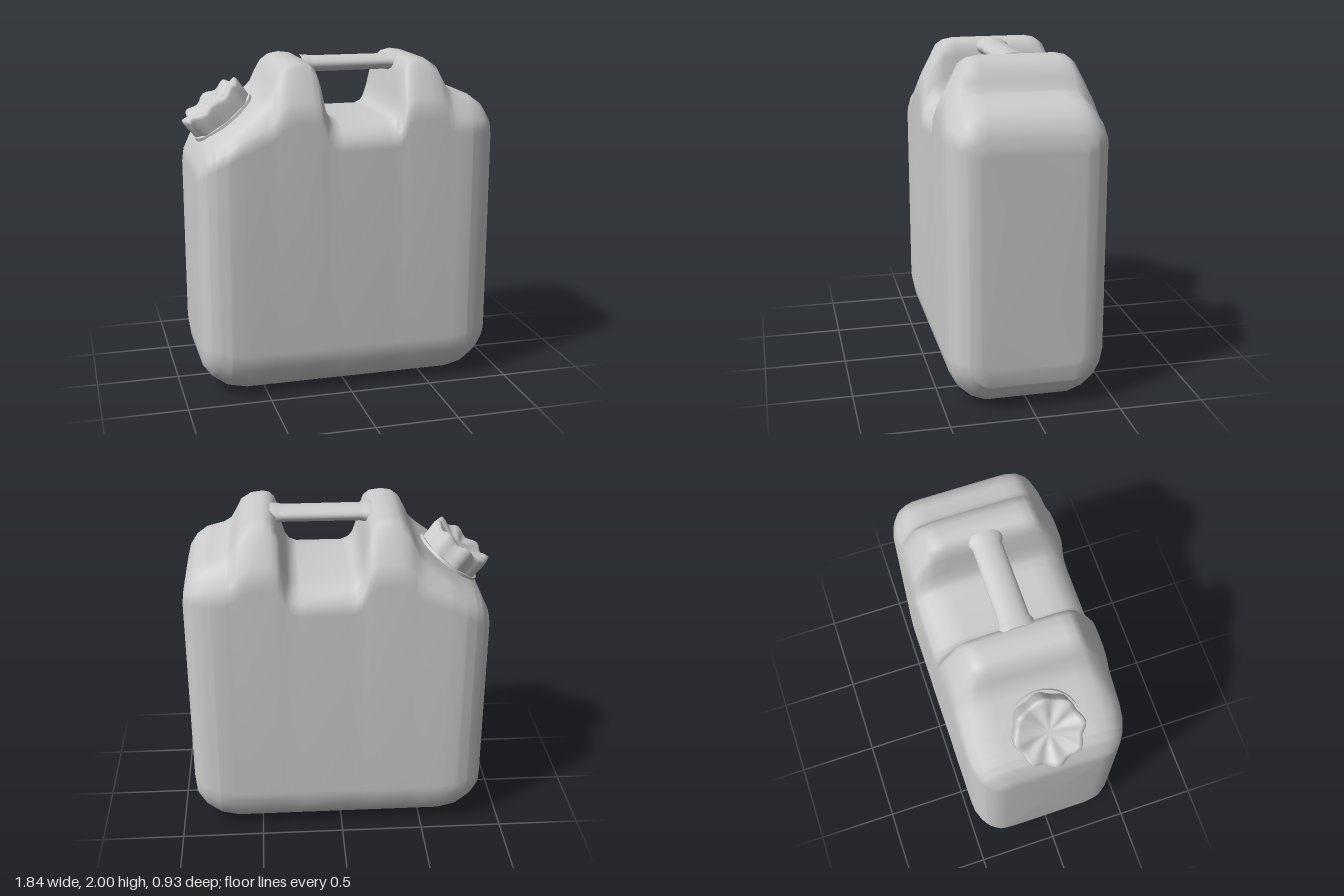
import * as THREE from 'three';
import { mergeVertices } from 'three/addons/utils/BufferGeometryUtils.js';

const material = new THREE.MeshStandardMaterial({ color: 0xcccccc });

// Piecewise linear lookup in a list of [x, value] points
function sample(points, x) {
  if (x <= points[0][0]) return points[0][1];
  for (let i = 1; i < points.length; i++) {
    const [x0, y0] = points[i - 1], [x1, y1] = points[i];
    if (x <= x1) return y0 + (y1 - y0) * (x - x0) / (x1 - x0);
  }
  return points[points.length - 1][1];
}

const X0 = -0.89, X1 = 0.92;

// Upper outline: sloped shoulder, hump, grip gap, hump, flat shoulder
const TOP = [
  [-0.89, 1.35], [-0.875, 1.42], [-0.83, 1.51], [-0.78, 1.56], [-0.7, 1.615], [-0.5, 1.77],
  [-0.45, 1.82], [-0.42, 1.89], [-0.385, 1.955], [-0.34, 1.99], [-0.28, 2.0], [-0.21, 1.99],
  [-0.175, 1.96], [-0.155, 1.9], [-0.135, 1.78], [-0.115, 1.71], [-0.085, 1.67], [-0.04, 1.65],
  [0.24, 1.65], [0.285, 1.67], [0.31, 1.71], [0.33, 1.78], [0.35, 1.9], [0.37, 1.96], [0.4, 1.99],
  [0.44, 2.0], [0.51, 1.99], [0.57, 1.95], [0.605, 1.88], [0.635, 1.825], [0.68, 1.795],
  [0.79, 1.765], [0.85, 1.72], [0.895, 1.65], [0.915, 1.57], [0.92, 1.52],
];
// Rounding at both ends, by distance from the end: bottom height and half depth
const BOTTOM = [[0, 0.28], [0.015, 0.17], [0.07, 0.09], [0.16, 0.025], [0.27, 0]];
const DEPTH = [[0, 0.29], [0.015, 0.36], [0.05, 0.41], [0.1, 0.44], [0.17, 0.462], [0.24, 0.467]];

// Edge rounding as [inset from the side, distance from the top or bottom]
const LOW_EDGE = [[0.22, 0], [0.13, 0.035], [0.06, 0.1], [0.02, 0.18], [0, 0.28]];
const SHOULDER_EDGE = [[0, 0.16], [0.02, 0.09], [0.07, 0.04], [0.13, 0.01], [0.22, 0]];
const HUMP_EDGE = [[0, 0.34], [0.05, 0.22], [0.14, 0.04], [0.18, 0.012], [0.24, 0]];

// Closed cross-section of the body at x, as [y, z] pairs
function section(x) {
  const u = Math.min(x - X0, X1 - x);
  const top = sample(TOP, x), bottom = sample(BOTTOM, u), d = sample(DEPTH, u);
  const q = (d - 0.25) / 0.217;
  const k = THREE.MathUtils.clamp((top - 1.65) / 0.35, 0, 1);
  const half = LOW_EDGE.map(([inset, rise]) => [bottom + rise * q, d - inset * q]);
  SHOULDER_EDGE.forEach(([inset, drop], i) => {
    const [hi, hd] = HUMP_EDGE[i];
    half.push([
      top - THREE.MathUtils.lerp(drop, hd, k) * q,
      d - THREE.MathUtils.lerp(inset, hi, k) * q,
    ]);
  });
  return [...half, ...half.map(([y, z]) => [y, -z]).reverse()];
}

function bodyGeometry() {
  const stations = new Set(TOP.map(p => p[0]));
  for (const [u] of [...BOTTOM, ...DEPTH]) {
    stations.add(+(X0 + u).toFixed(3));
    stations.add(+(X1 - u).toFixed(3));
  }
  const xs = [...stations].sort((a, b) => a - b);
  const positions = [], index = [];
  let n = 0;
  for (const x of xs) {
    const ring = section(x);
    n = ring.length;
    for (const [y, z] of ring) positions.push(x, y, z);
  }
  for (let i = 0; i < xs.length - 1; i++) {
    for (let j = 0; j < n; j++) {
      const a = i * n + j, d = i * n + (j + 1) % n;
      index.push(a, a + n, d + n, a, d + n, d);
    }
  }
  // Flat end walls
  const last = (xs.length - 1) * n, c = xs.length * n;
  positions.push(X0, 0.82, 0, X1, 0.9, 0);
  for (let j = 0; j < n; j++) {
    const k = (j + 1) % n;
    index.push(c, j, k, c + 1, last + k, last + j);
  }
  const g = new THREE.BufferGeometry();
  g.setAttribute('position', new THREE.Float32BufferAttribute(positions, 3));
  g.setIndex(index);
  g.computeVertexNormals();
  return g;
}

// Screw cap: a lathe with eight grip lobes and a dished top
function capGeometry() {
  const profile = [[0.195, -0.03], [0.197, 0.06], [0.2, 0.13], [0.193, 0.152], [0.17, 0.15], [0.1, 0.122], [0, 0.11]];
  let g = new THREE.LatheGeometry(profile.map(p => new THREE.Vector2(...p)), 48);
  const p = g.attributes.position;
  for (let i = 0; i < p.count; i++) {
    const x = p.getX(i), y = p.getY(i), z = p.getZ(i);
    const r = Math.hypot(x, z), wave = Math.cos(8 * Math.atan2(z, x));
    const s = 1 + 0.045 * wave * r / 0.2;
    const lift = y > 0.1 ? 0.012 * (wave - 1) * Math.min(1, r / 0.15) : 0;
    p.setXYZ(i, x * s, y + lift, z * s);
  }
  g.deleteAttribute('normal');
  g.deleteAttribute('uv');
  g = mergeVertices(g, 1e-4);
  g.computeVertexNormals();
  return g;
}

function addMesh(parent, name, geometry) {
  const mesh = new THREE.Mesh(geometry, material);
  mesh.name = name;
  parent.add(mesh);
  return mesh;
}

export function createModel() {
  const model = new THREE.Group();
  model.name = 'fuelCan';

  addMesh(model, 'body', bodyGeometry());

  // Oval grip bar between the humps, flared slightly where it joins them
  const bar = [[0.1, -0.3], [0.1, -0.26], [0.088, -0.23], [0.086, 0.23], [0.1, 0.26], [0.1, 0.3]];
  const handle = addMesh(model, 'handle',
    new THREE.LatheGeometry(bar.map(p => new THREE.Vector2(...p)), 24));
  handle.rotation.z = -Math.PI / 2;
  handle.scale.x = 0.54;
  handle.position.set(0.1, 1.948, 0);

  // Spout collar and cap, square to the sloped shoulder
  const spout = new THREE.Group();
  spout.name = 'spout';
  spout.position.set(-0.667, 1.64, 0);
  spout.rotation.z = Math.atan2(0.155, 0.2);
  model.add(spout);
  const collar = addMesh(spout, 'collar', new THREE.CylinderGeometry(0.21, 0.218, 0.06, 32));
  collar.position.y = -0.012;
  addMesh(spout, 'cap', capGeometry());

  return model;
}
